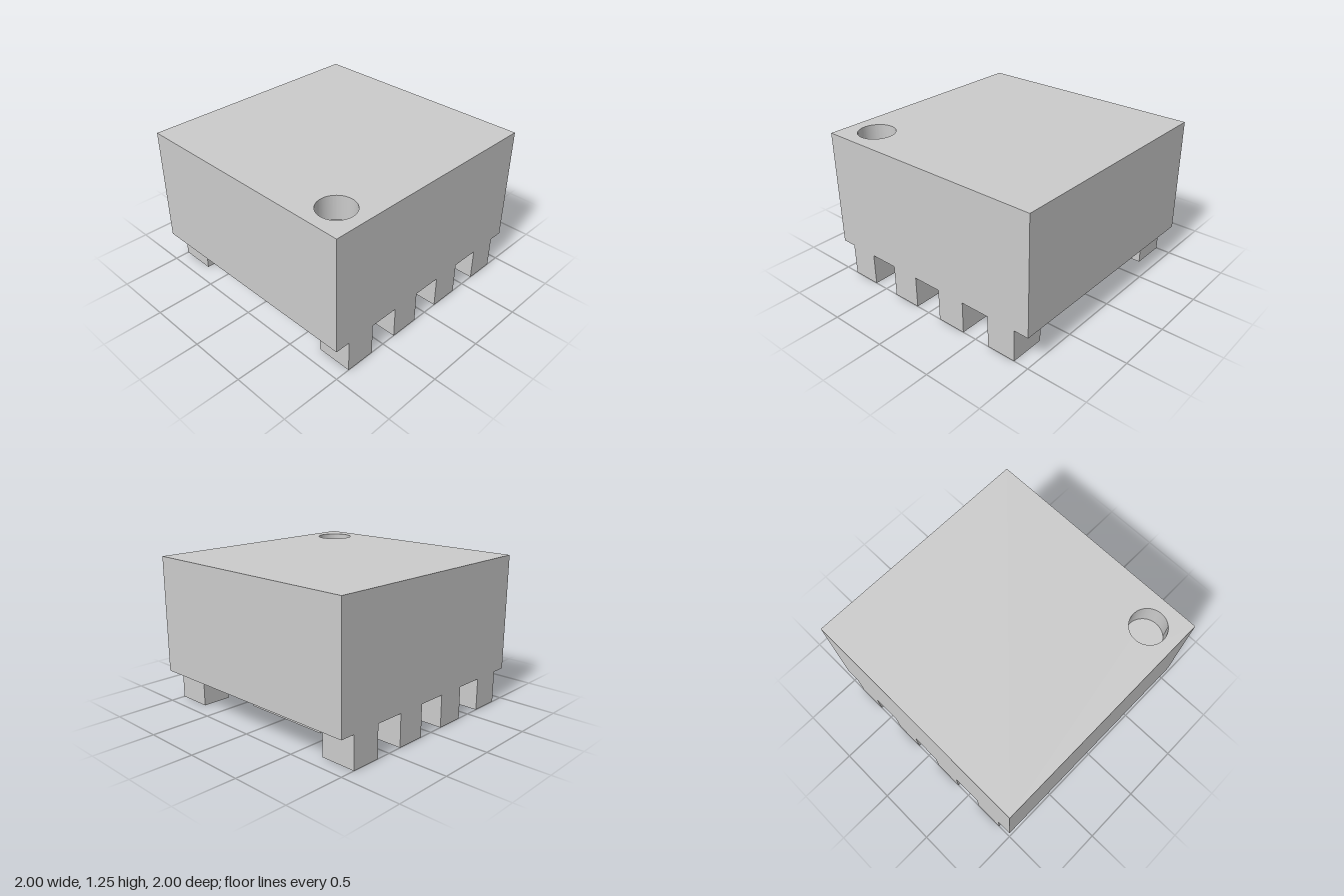
import * as THREE from 'three';
import { toCreasedNormals } from 'three/addons/utils/BufferGeometryUtils.js';

const PIN_H = 0.27, TOP = 1.25, HOLE_R = 0.15, HOLE_DEPTH = 0.2;

export function createModel() {
  const group = new THREE.Group();
  const material = new THREE.MeshStandardMaterial({ color: 0xcccccc });

  const add = (name, geometry, x = 0, y = 0, z = 0) => {
    const mesh = new THREE.Mesh(geometry, material);
    mesh.name = name;
    mesh.position.set(x, y, z);
    group.add(mesh);
  };

  // Extrudes a plan outline (x, -z) upward from y = 0
  const extrudeUp = (shape, depth) => {
    const g = new THREE.ExtrudeGeometry(shape, { depth, bevelEnabled: false, curveSegments: 48 });
    g.rotateX(-Math.PI / 2);
    return toCreasedNormals(g, 0.5);
  };
  const outline = (points) => new THREE.Shape(points.map(([x, z]) => new THREE.Vector2(x, -z)));

  // Square body with a round orientation mark sunk into its top
  const plan = outline([[-1, 1], [1, 1], [1, -1], [-1, -1]]);
  plan.holes.push(new THREE.Path().absarc(-0.75, -0.75, HOLE_R, 0, Math.PI * 2, true));
  add('body', extrudeUp(plan, TOP - PIN_H), 0, PIN_H, 0);

  // Plug that forms the floor of the mark
  const plugH = TOP - PIN_H - HOLE_DEPTH;
  add('markFloor', new THREE.CylinderGeometry(HOLE_R, HOLE_R, plugH, 48), -0.75, PIN_H + plugH / 2, 0.75);

  // Four contact pins along the front and back edges
  for (const side of [1, -1]) {
    for (let i = 0; i < 4; i++) {
      add(side > 0 ? 'frontPin' : 'backPin', new THREE.BoxGeometry(0.25, PIN_H, 0.3),
        -0.75 + i * 0.5, PIN_H / 2, side * 0.85);
    }
  }

  // Central pad with one corner cut off below the mark
  const pad = outline([[-0.3, 0.4], [0.6, 0.4], [0.6, -0.4], [-0.6, -0.4], [-0.6, 0.1]]);
  add('centrePad', extrudeUp(pad, PIN_H));

  return group;
}
